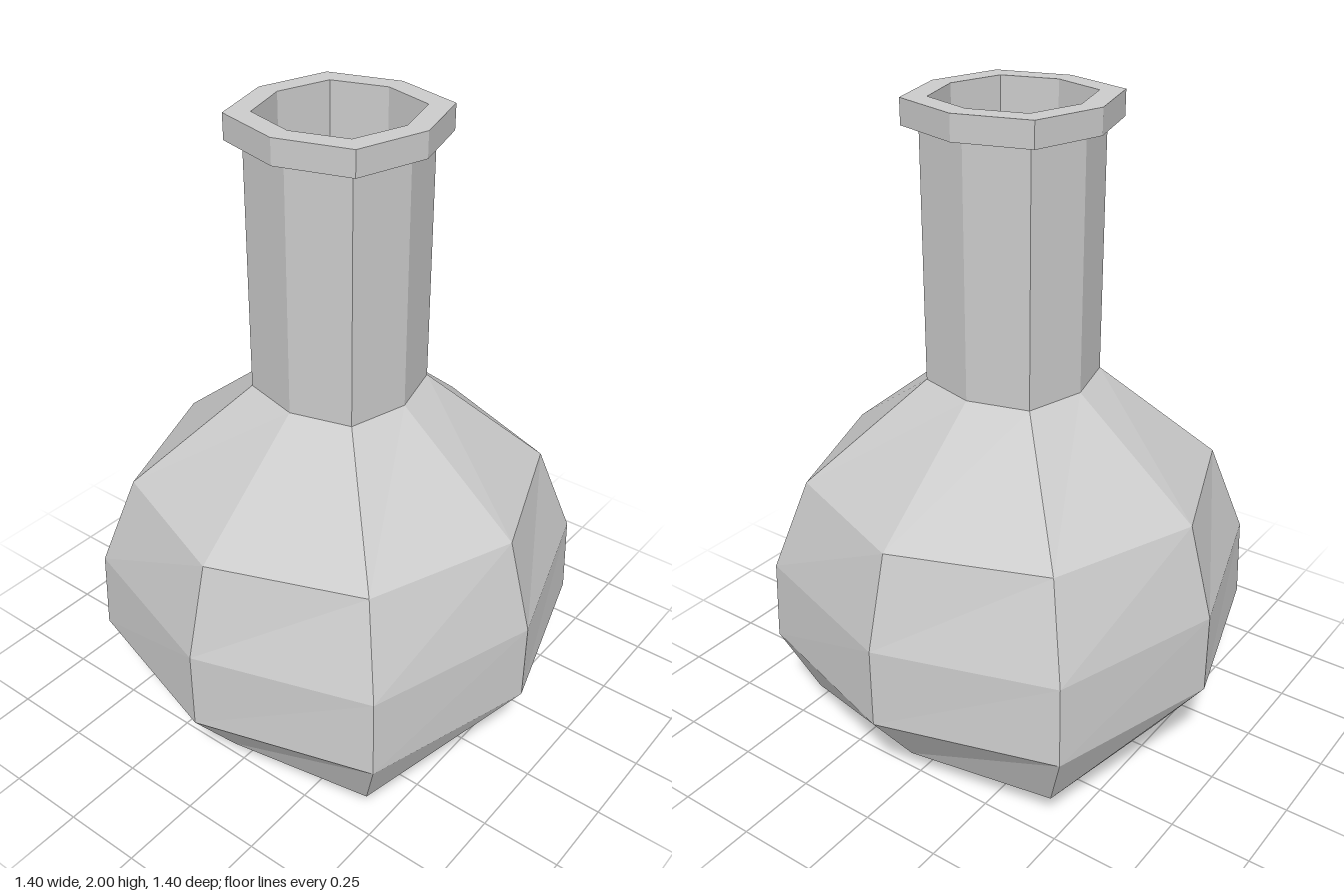
import * as THREE from 'three';

// Skin eight-sided rings given as [y, a, d]:
// a = reach of the points on the x and z axes, d = x and z of the corner points.
// The profile runs upwards on outer faces and downwards on inner faces.
function skinRings(profile) {
  const position = [];
  const index = [];
  for (const [y, a, d] of profile) {
    for (let j = 0; j < 8; j++) {
      const angle = (j * Math.PI) / 4;
      const r = j % 2 ? d * Math.SQRT2 : a;
      position.push(r * Math.sin(angle), y, r * Math.cos(angle));
    }
  }
  for (let i = 0; i < profile.length - 1; i++) {
    for (let j = 0; j < 8; j++) {
      const p = i * 8 + j;
      const q = i * 8 + ((j + 1) % 8);
      index.push(p, q, q + 8, p, q + 8, p + 8);
    }
  }
  const geometry = new THREE.BufferGeometry();
  geometry.setAttribute('position', new THREE.Float32BufferAttribute(position, 3));
  geometry.setIndex(index);
  const flat = geometry.toNonIndexed();
  flat.computeVertexNormals();
  return flat;
}

export function createModel() {
  const group = new THREE.Group();
  group.name = 'flask';
  const material = new THREE.MeshStandardMaterial({ color: 0xcccccc, flatShading: true });

  const parts = {
    // Bulb with a closed, nearly square base
    body: [
      [0, 0, 0],
      [0, 0.37, 0.335],
      [0.095, 0.537, 0.455],
      [0.315, 0.7, 0.537],
      [0.57, 0.7, 0.53],
      [0.855, 0.622, 0.45],
      [1.17, 0.235, 0.185],
    ],
    // Straight neck
    neck: [
      [1.17, 0.235, 0.185],
      [1.925, 0.235, 0.185],
    ],
    // Collar around the mouth
    rim: [
      [1.925, 0.235, 0.185],
      [1.925, 0.284, 0.22],
      [2, 0.284, 0.22],
      [2, 0.218, 0.167],
    ],
    // Hollow of the neck with its floor
    innerNeck: [
      [2, 0.218, 0.167],
      [1.17, 0.218, 0.167],
      [1.17, 0, 0],
    ],
  };

  for (const [name, profile] of Object.entries(parts)) {
    const mesh = new THREE.Mesh(skinRings(profile), material);
    mesh.name = name;
    group.add(mesh);
  }
  return group;
}
